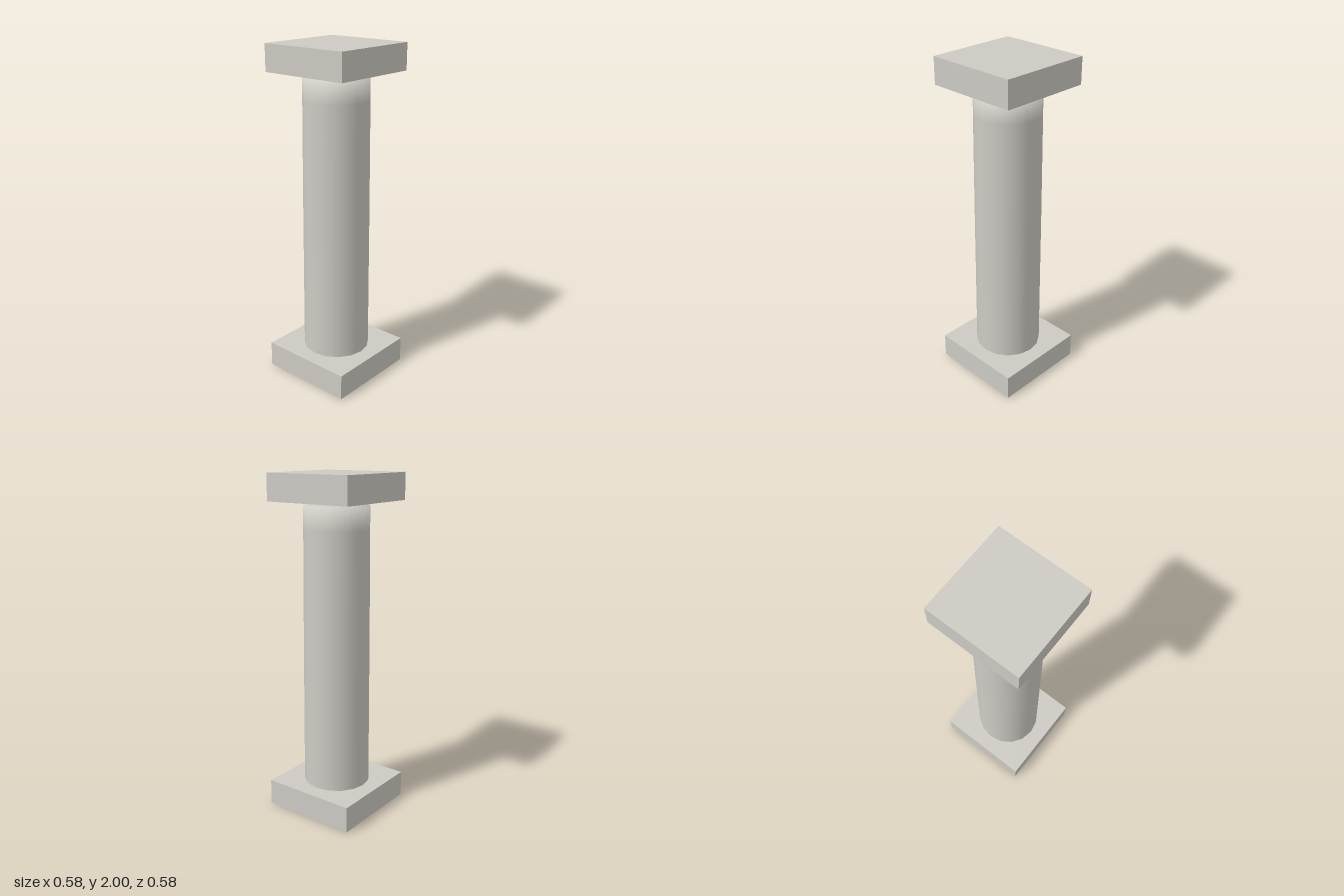
import * as THREE from 'three';

export function createModel() {
  const column = new THREE.Group();
  column.name = 'column';
  const stone = new THREE.MeshStandardMaterial({ color: 0xcdcac3 });
  stone.name = 'pale stone';

  const add = (name, geometry, y) => {
    const mesh = new THREE.Mesh(geometry, stone);
    mesh.name = name;
    mesh.position.y = y;
    column.add(mesh);
  };

  // Square slabs at the foot and head
  add('basePlinth', new THREE.BoxGeometry(0.58, 0.155, 0.58), 0.0775);
  add('capitalSlab', new THREE.BoxGeometry(0.55, 0.155, 0.55), 1.9225);

  // Tapered shaft, closed on top with a softly shaded rim
  const profile = [
    [0.2, 0.155], [0.198, 0.55], [0.196, 0.99], [0.193, 1.43],
    [0.191, 1.69], [0.19, 1.82], [0, 1.82],
  ].map(([r, y]) => new THREE.Vector2(r, y));
  const sides = 32;
  const shaft = new THREE.LatheGeometry(profile, sides);

  // Shallow flutes: every second vertical line is pulled slightly inward
  const p = shaft.attributes.position;
  for (let i = 0; i < p.count; i++) {
    const line = Math.floor(i / profile.length);
    if (line % 2 === 1) p.setXYZ(i, p.getX(i) * 0.98, p.getY(i), p.getZ(i) * 0.98);
  }
  add('shaft', shaft, 0);

  return column;
}
